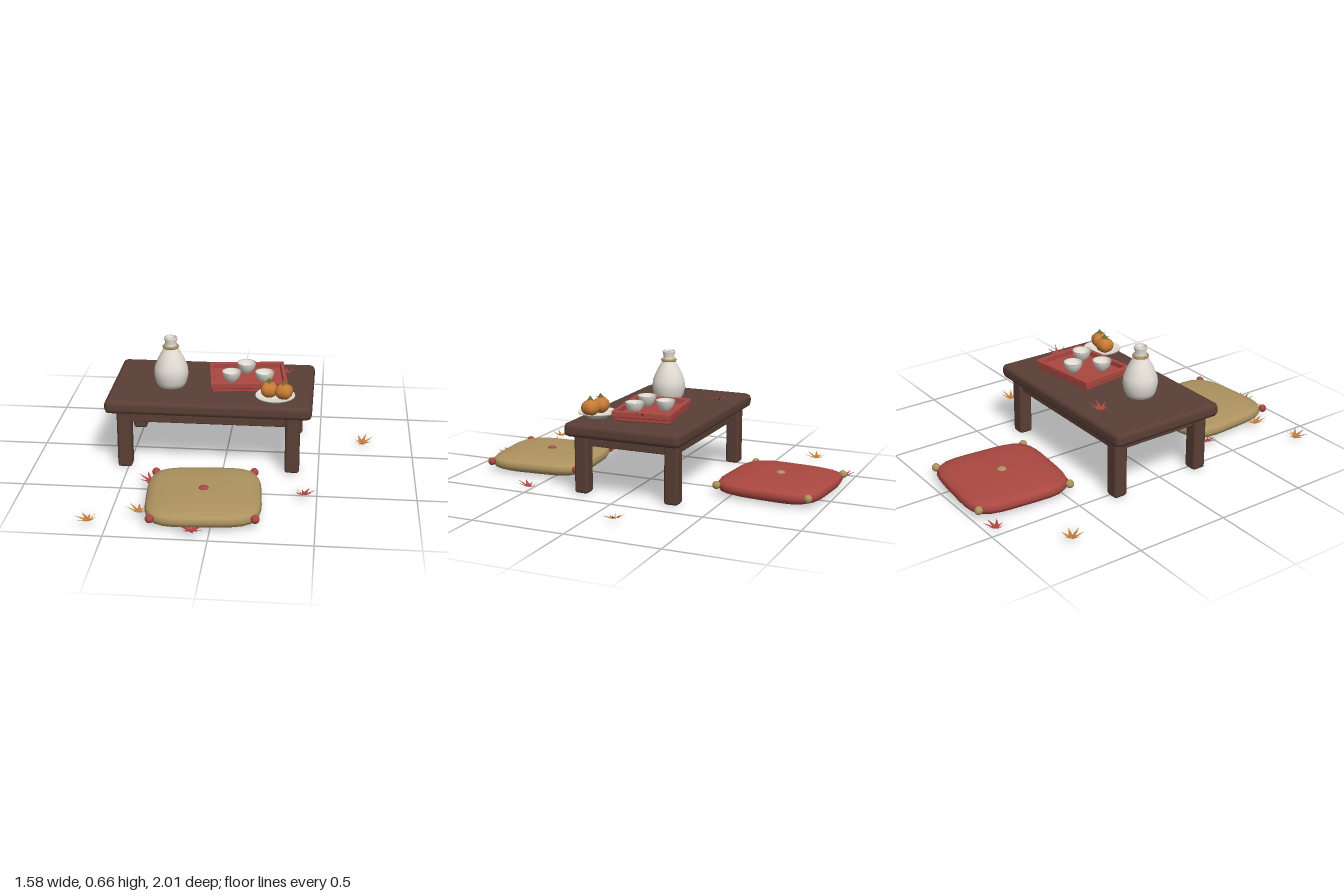
import * as THREE from 'three';
import { mergeVertices } from 'three/addons/utils/BufferGeometryUtils.js';
import { RoundedBoxGeometry } from 'three/addons/geometries/RoundedBoxGeometry.js';

const mat = (name, color, extra = {}) => new THREE.MeshStandardMaterial({ name, color, ...extra });
const V = (pts) => pts.map(([x, y]) => new THREE.Vector2(x, y));

export function createModel() {
  const wood = mat('dark wood', 0x5a3f36);
  const red = mat('red', 0xab4841);
  const tan = mat('tan', 0xae9360);
  const white = mat('porcelain', 0xe2ddd4, { side: THREE.DoubleSide });
  const orange = mat('persimmon orange', 0xc77a35);
  const green = mat('calyx green', 0x6c6a34, { side: THREE.DoubleSide });
  const redLeaf = mat('red leaf', 0xa94440, { side: THREE.DoubleSide });
  const orangeLeaf = mat('orange leaf', 0xc07a3a, { side: THREE.DoubleSide });

  const model = new THREE.Group();
  model.name = 'teaTableSet';

  const add = (parent, name, geo, material, x = 0, y = 0, z = 0) => {
    const m = new THREE.Mesh(geo, material);
    m.name = name;
    m.position.set(x, y, z);
    parent.add(m);
    return m;
  };
  const group = (name, x, y, z, ry = 0) => {
    const g = new THREE.Group();
    g.name = name;
    g.position.set(x, y, z);
    g.rotation.y = ry;
    model.add(g);
    return g;
  };
  // box with a single chamfer on every edge
  const block = (w, h, d, b) => new RoundedBoxGeometry(w, h, d, 1, b);

  // flat star from [angle, radius] points, with its tips lifted
  const star = (points, lift) => {
    const R = Math.max(...points.map((p) => p[1]));
    const pos = [0, 0, 0];
    const index = [];
    points.forEach(([a, r], i) => {
      pos.push(Math.sin(a) * r, lift * (r / R) ** 1.5, Math.cos(a) * r);
      index.push(0, i + 1, ((i + 1) % points.length) + 1);
    });
    const g = new THREE.BufferGeometry();
    g.setAttribute('position', new THREE.Float32BufferAttribute(pos, 3));
    g.setIndex(index);
    const flat = g.toNonIndexed();
    flat.computeVertexNormals();
    return flat;
  };

  // table
  const table = group('table', -0.078, 0, -0.032);
  add(table, 'tableTop', block(1.076, 0.075, 0.645, 0.027), wood, 0, 0.348, 0);
  for (const sx of [-1, 1]) {
    for (const sz of [-1, 1]) {
      add(table, 'leg', block(0.076, 0.32, 0.076, 0.014), wood, sx * 0.44, 0.16, sz * 0.252);
    }
    add(table, 'sideApron', block(0.04, 0.065, 0.46, 0.006), wood, sx * 0.44, 0.288, 0);
  }
  for (const sz of [-1, 1]) {
    add(table, 'longApron', block(0.83, 0.065, 0.04, 0.006), wood, 0, 0.288, sz * 0.252);
  }

  // bottle
  const bottle = group('bottle', -0.295, 0.385, 0.025);
  add(bottle, 'bottleBody', new THREE.LatheGeometry(V([
    [0, 0], [0.07, 0], [0.083, 0.025], [0.092, 0.07], [0.087, 0.108], [0.068, 0.155],
    [0.046, 0.195], [0.033, 0.218], [0.029, 0.24], [0.036, 0.262], [0.034, 0.27],
    [0.026, 0.27], [0.023, 0.24], [0, 0.235],
  ]), 20), white);
  const cord = add(bottle, 'neckCord', new THREE.TorusGeometry(0.036, 0.008, 6, 16), tan, 0, 0.218, 0);
  cord.rotation.x = Math.PI / 2;

  // tray with rim
  const tray = group('tray', 0.107, 0.385, -0.054, 0.125);
  add(tray, 'trayBase', block(0.385, 0.026, 0.3, 0.006), red, 0, 0.014, 0);
  for (const s of [-1, 1]) {
    add(tray, 'longRim', block(0.405, 0.034, 0.022, 0.006), red, 0, 0.038, s * 0.147);
    add(tray, 'shortRim', block(0.022, 0.034, 0.316, 0.006), red, s * 0.192, 0.038, 0);
  }

  // cups
  const cupGeo = new THREE.LatheGeometry(V([
    [0, 0], [0.026, 0], [0.028, 0.008], [0.043, 0.024], [0.052, 0.056],
    [0.047, 0.056], [0.038, 0.026], [0, 0.018],
  ]), 16);
  [[0.095, -0.125], [0.025, 0.012], [0.2, 0.003]].forEach(([x, z]) =>
    add(model, 'cup', cupGeo, white, x, 0.412, z));

  // plate
  add(model, 'plate', new THREE.LatheGeometry(V([
    [0, 0], [0.05, 0], [0.055, 0.008], [0.104, 0.026], [0.102, 0.031], [0.055, 0.016], [0, 0.014],
  ]), 20), white, 0.267, 0.385, 0.185);

  // persimmons, slightly squared in plan
  const fruitGeo = new THREE.SphereGeometry(0.046, 20, 12);
  const fp = fruitGeo.attributes.position;
  for (let i = 0; i < fp.count; i++) {
    const x = fp.getX(i), z = fp.getZ(i);
    const k = 1 - 0.07 * Math.cos(4 * Math.atan2(z, x));
    fp.setXYZ(i, x * k, fp.getY(i) * 0.92, z * k);
  }
  fruitGeo.computeVertexNormals();
  const calyxPoints = [];
  for (let i = 0; i < 8; i++) calyxPoints.push([i * Math.PI / 4, i % 2 ? 0.014 : 0.034]);
  const calyxGeo = star(calyxPoints, -0.006);
  [[0.234, 0.182, 0.1], [0.313, 0.203, -0.3]].forEach(([x, z, ry]) => {
    const fruit = group('persimmon', x, 0.442, z, ry);
    add(fruit, 'fruit', fruitGeo, orange);
    add(fruit, 'calyx', calyxGeo, green, 0, 0.046, 0);
    add(fruit, 'stem', new THREE.ConeGeometry(0.018, 0.022, 4), green, 0, 0.053, 0);
  });

  // cushions: lathed profile pushed out to a rounded square
  let cushionGeo = new THREE.LatheGeometry(V([
    [0, 0], [0.14, 0.001], [0.235, 0.004], [0.272, 0.02], [0.286, 0.045],
    [0.274, 0.068], [0.235, 0.082], [0.14, 0.09], [0, 0.092],
  ]), 40);
  const cp = cushionGeo.attributes.position;
  for (let i = 0; i < cp.count; i++) {
    const a = Math.atan2(cp.getZ(i), cp.getX(i));
    const k = (Math.abs(Math.cos(a)) ** 4.5 + Math.abs(Math.sin(a)) ** 4.5) ** (-1 / 4.5);
    cp.setX(i, cp.getX(i) * k);
    cp.setZ(i, cp.getZ(i) * k);
  }
  cushionGeo.deleteAttribute('normal');
  cushionGeo.deleteAttribute('uv');
  cushionGeo = mergeVertices(cushionGeo, 1e-4);
  cushionGeo.computeVertexNormals();
  const knobGeo = new THREE.IcosahedronGeometry(0.022, 1);
  const cushion = (name, x, z, ry, cover, trim) => {
    const g = group(name, x, 0, z, ry);
    add(g, 'cover', cushionGeo, cover);
    add(g, 'button', knobGeo, trim, 0, 0.092, 0).scale.set(1.15, 0.5, 1.15);
    for (const sx of [-1, 1]) {
      for (const sz of [-1, 1]) add(g, 'cornerKnot', knobGeo, trim, sx * 0.252, 0.054, sz * 0.252);
    }
  };
  cushion('redCushion', -0.1, -0.7, -0.08, red, tan);
  cushion('tanCushion', -0.056, 0.637, 0.08, tan, red);

  // fallen maple leaves: seven lobes and a short stem point
  const leafPoints = [];
  const lobes = [0.04, 0.056, 0.065, 0.07, 0.065, 0.056, 0.04];
  lobes.forEach((r, i) => {
    const a = (i - 3) * 0.8;
    leafPoints.push([a, r], [a + 0.4, i === 6 ? 0.01 : 0.023]);
  });
  leafPoints.push([Math.PI, 0.05], [Math.PI + 0.3, 0.01]);
  const leafGeo = star(leafPoints, 0.03);
  [
    [-0.45, 0.008, -0.945, 2.6, redLeaf], [-0.74, 0.012, -0.71, 0.4, orangeLeaf],
    [0.73, 0.012, -0.135, 1.9, orangeLeaf], [0.43, 0.012, 0.51, 0.9, redLeaf],
    [-0.59, 0.012, 0.87, -0.8, orangeLeaf], [-0.35, 0.012, 0.435, -1.9, redLeaf],
    [-0.355, 0.025, 0.79, -1.4, orangeLeaf], [-0.085, 0.018, 0.935, 0.2, redLeaf],
    [-0.335, 0.392, -0.25, 2.2, redLeaf], [0.3, 0.425, -0.085, 1.2, redLeaf],
  ].forEach(([x, y, z, ry, m], i) => {
    const leaf = add(model, 'mapleLeaf', leafGeo, m, x, y, z);
    leaf.rotation.set(0.1 * Math.sin(i * 2), ry, 0.1 * Math.cos(i * 3), 'YXZ');
  });

  return model;
}
